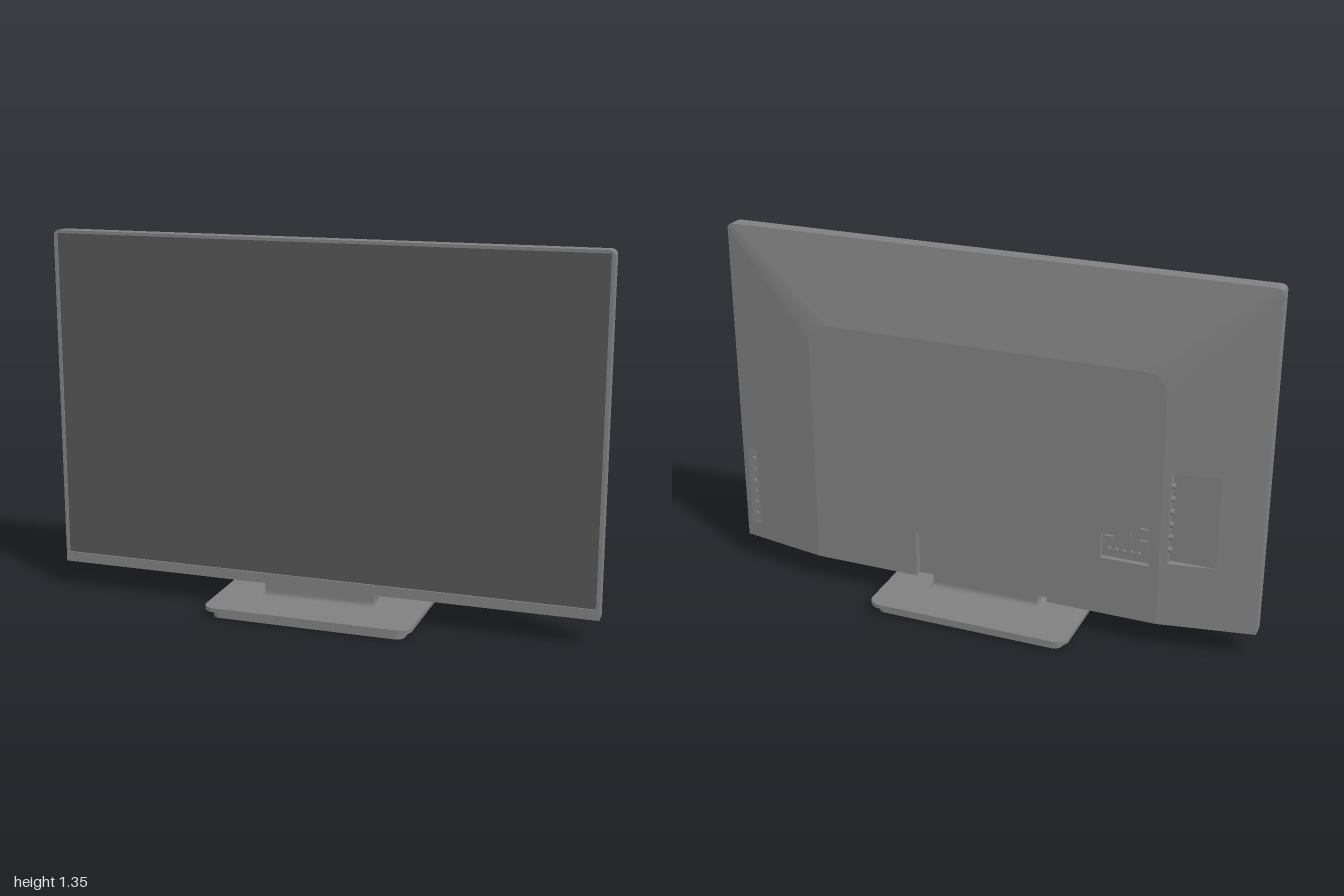
import * as THREE from 'three';

const body = new THREE.MeshStandardMaterial({ color: 0x808080, side: THREE.DoubleSide });
body.name = 'grey plastic';
const glass = new THREE.MeshStandardMaterial({ color: 0x555555 });
glass.name = 'dark screen';

const BOTTOM = 0.1, TOP = 1.345, FRONT = 0.058, BACK = -0.06;
const IN_X = 0.66, IN_Y = 1.03, R_OUT = 0.02, R_IN = 0.08;
const sideZ = (x) => BACK * (1 - Math.abs(x)) / (1 - IN_X);
const topZ = (x, y) => BACK * (TOP - y) / (TOP - IN_Y);
const flatZ = () => BACK;

const toShape = (pts) => new THREE.Shape(pts.map(([x, y]) => new THREE.Vector2(x, y)));
const rect = (x0, y0, x1, y1) => [[x0, y0], [x1, y0], [x1, y1], [x0, y1]];

// points of a quarter circle between two angles
function arc(cx, cy, r, a0, a1, n = 8) {
  return Array.from({ length: n + 1 }, (_, i) => {
    const a = a0 + (a1 - a0) * i / n;
    return [cx + r * Math.cos(a), cy + r * Math.sin(a)];
  });
}

// rectangle with rounded top corners, optionally rounded bottom ones too
function roundedRect(x, y0, y1, r, all = false) {
  const q = Math.PI / 2;
  return [
    ...(all ? arc(-x + r, y0 + r, r, 2 * q, 3 * q) : [[-x, y0]]),
    ...(all ? arc(x - r, y0 + r, r, 3 * q, 4 * q) : [[x, y0]]),
    ...arc(x - r, y1 - r, r, 0, q), ...arc(-x + r, y1 - r, r, q, 2 * q),
  ];
}

// rearward facing sheet whose depth follows zOf
function sheet(pts, zOf, holes = []) {
  const shape = toShape(pts);
  shape.holes = holes.map((h) => new THREE.Path(h.map(([x, y]) => new THREE.Vector2(x, y))));
  const g = new THREE.ShapeGeometry(shape);
  const p = g.attributes.position;
  for (let i = 0; i < p.count; i++) p.setZ(i, zOf(p.getX(i), p.getY(i)));
  g.index.array.reverse();
  g.computeVertexNormals();
  return g;
}

// strip of separate quads given as four corners each
function quads(list) {
  const g = new THREE.BufferGeometry();
  const v = list.flatMap(([a, b, c, d]) => [a, b, c, a, c, d].flat());
  g.setAttribute('position', new THREE.Float32BufferAttribute(v, 3));
  g.computeVertexNormals();
  return g;
}

// smooth band joining the outer and inner rounded corner of the back
function cornerBand(s) {
  const outer = arc(1 - R_OUT, TOP - R_OUT, R_OUT, 0, Math.PI / 2);
  const inner = arc(IN_X - R_IN, IN_Y - R_IN, R_IN, 0, Math.PI / 2);
  const pos = [], idx = [];
  outer.forEach(([x, y], i) => {
    pos.push(s * x, y, 0, s * inner[i][0], inner[i][1], BACK);
    if (i === 0) return;
    const a = 2 * i - 2, f = [a, a + 1, a + 3, a, a + 3, a + 2];
    idx.push(...(s > 0 ? f : f.reverse()));
  });
  const g = new THREE.BufferGeometry();
  g.setAttribute('position', new THREE.Float32BufferAttribute(pos, 3));
  g.setIndex(idx);
  g.computeVertexNormals();
  return g;
}

export function createModel() {
  const model = new THREE.Group();
  const add = (name, geo, mat = body, parent = model) => {
    const m = new THREE.Mesh(geo, mat);
    m.name = name;
    parent.add(m);
    return m;
  };

  // front frame and screen
  const frame = toShape(roundedRect(1, BOTTOM, TOP, R_OUT));
  frame.holes.push(toShape(rect(-0.988, 0.137, 0.988, 1.334)));
  add('frontFrame', new THREE.ExtrudeGeometry(frame, { depth: FRONT, bevelEnabled: false }));
  add('screen', new THREE.BoxGeometry(1.976, 1.197, 0.02), glass).position.set(0, 0.7355, 0.042);

  // outlines of the openings in the back
  const socketPocket = [[-0.625, 0.32], [-0.45, 0.32], [-0.45, 0.42], [-0.5, 0.42],
    [-0.5, 0.405], [-0.555, 0.405], [-0.555, 0.445], [-0.575, 0.47], [-0.625, 0.47]];
  const sidePocket = rect(-0.852, 0.34, -0.688, 0.68);
  const buttonSlot = rect(0.935, 0.165, 0.977, 0.47);
  const NX = 0.255, NY = 0.275, NZ = -0.03;

  // rear shell: flat panel, slopes and blended corners
  const shell = new THREE.Group();
  shell.name = 'rearShell';
  model.add(shell);
  const panel = roundedRect(IN_X, BOTTOM, IN_Y, R_IN);
  panel.splice(1, 0, [-NX, BOTTOM], [-NX, NY], [NX, NY], [NX, BOTTOM]);
  add('rearPanel', sheet(panel, flatZ, [socketPocket]), body, shell);
  for (const s of [1, -1]) {
    const side = [[s, BOTTOM], [s, TOP - R_OUT], [s * IN_X, IN_Y - R_IN], [s * IN_X, BOTTOM]];
    add('sideSlope', sheet(side, sideZ, [s > 0 ? buttonSlot : sidePocket]), body, shell);
    add('cornerBlend', cornerBand(s), body, shell);
  }
  const ox = 1 - R_OUT, ix = IN_X - R_IN;
  add('topSlope', sheet([[-ox, TOP], [-ix, IN_Y], [ix, IN_Y], [ox, TOP]], topZ), body, shell);
  const under = toShape([[1, 0], [-1, 0], [-IN_X, BACK], [-NX, BACK], [-NX, NZ], [NX, NZ], [NX, BACK], [IN_X, BACK]]);
  add('underside', new THREE.ShapeGeometry(under).rotateX(Math.PI / 2), body, shell).position.y = BOTTOM;

  // recesses: floor and inner walls, counter-clockwise from the front
  const recess = (name, pts, zOf, floor, open = -1) => {
    add(name + 'Floor', sheet(pts, () => floor), body, shell);
    const walls = [];
    pts.forEach((a, i) => {
      if (i === open) return;
      const b = pts[(i + 1) % pts.length];
      walls.push([[...a, zOf(...a)], [...a, floor], [...b, floor], [...b, zOf(...b)]]);
    });
    add(name + 'Walls', quads(walls), body, shell);
  };
  recess('standNotch', rect(-NX, BOTTOM, NX, NY), flatZ, NZ, 0);
  recess('socketPocket', socketPocket, flatZ, -0.04);
  recess('sidePocket', sidePocket, sideZ, sideZ(0.852));
  recess('buttonSlot', buttonSlot, sideZ, sideZ(0.977));

  // control buttons, side ports and rear sockets
  for (let i = 0; i < 6; i++) {
    add('button', new THREE.CylinderGeometry(0.01, 0.01, 0.008, 12).rotateX(Math.PI / 2))
      .position.set(0.955, 0.2 + i * 0.046, -0.007);
    add('sidePort', new THREE.CylinderGeometry(0.01, 0.01, 0.012, 12).rotateZ(Math.PI / 2))
      .position.set(-0.694, 0.39 + i * 0.048, -0.041);
  }
  for (let i = 0; i < 5; i++) {
    add('rearSocket', new THREE.CylinderGeometry(0.009, 0.009, 0.012, 12).rotateX(Math.PI / 2))
      .position.set(-0.475 - i * 0.027, 0.35, -0.044);
  }
  for (const [x, y] of [[-0.475, 0.392], [-0.6, 0.395], [-0.6, 0.44]]) {
    add('squareSocket', new THREE.BoxGeometry(0.028, 0.024, 0.012)).position.set(x, y, -0.044);
  }

  // neck, flared where it meets the base
  const neck = new THREE.BoxGeometry(0.41, 0.075, 0.064, 1, 10, 1);
  const p = neck.attributes.position;
  for (let i = 0; i < p.count; i++) {
    const t = Math.max(0, 1 - (p.getY(i) + 0.0375) / 0.02);
    const flare = 0.014 * t * t;
    p.setX(i, p.getX(i) + Math.sign(p.getX(i)) * flare);
    p.setZ(i, p.getZ(i) + Math.sign(p.getZ(i)) * flare);
  }
  neck.computeVertexNormals();
  add('neck', neck).position.set(0, 0.0795, 0.012);

  // two-step base
  const slab = (name, x, z, r, y0, y1) => {
    const g = new THREE.ExtrudeGeometry(toShape(roundedRect(x, -z, z, r, true)), { depth: y1 - y0, bevelEnabled: false });
    add(name, g.rotateX(-Math.PI / 2)).position.y = y0;
  };
  slab('baseFoot', 0.355, 0.195, 0.03, 0, 0.028);
  slab('basePlate', 0.382, 0.219, 0.045, 0.028, 0.043);
  return model;
}
